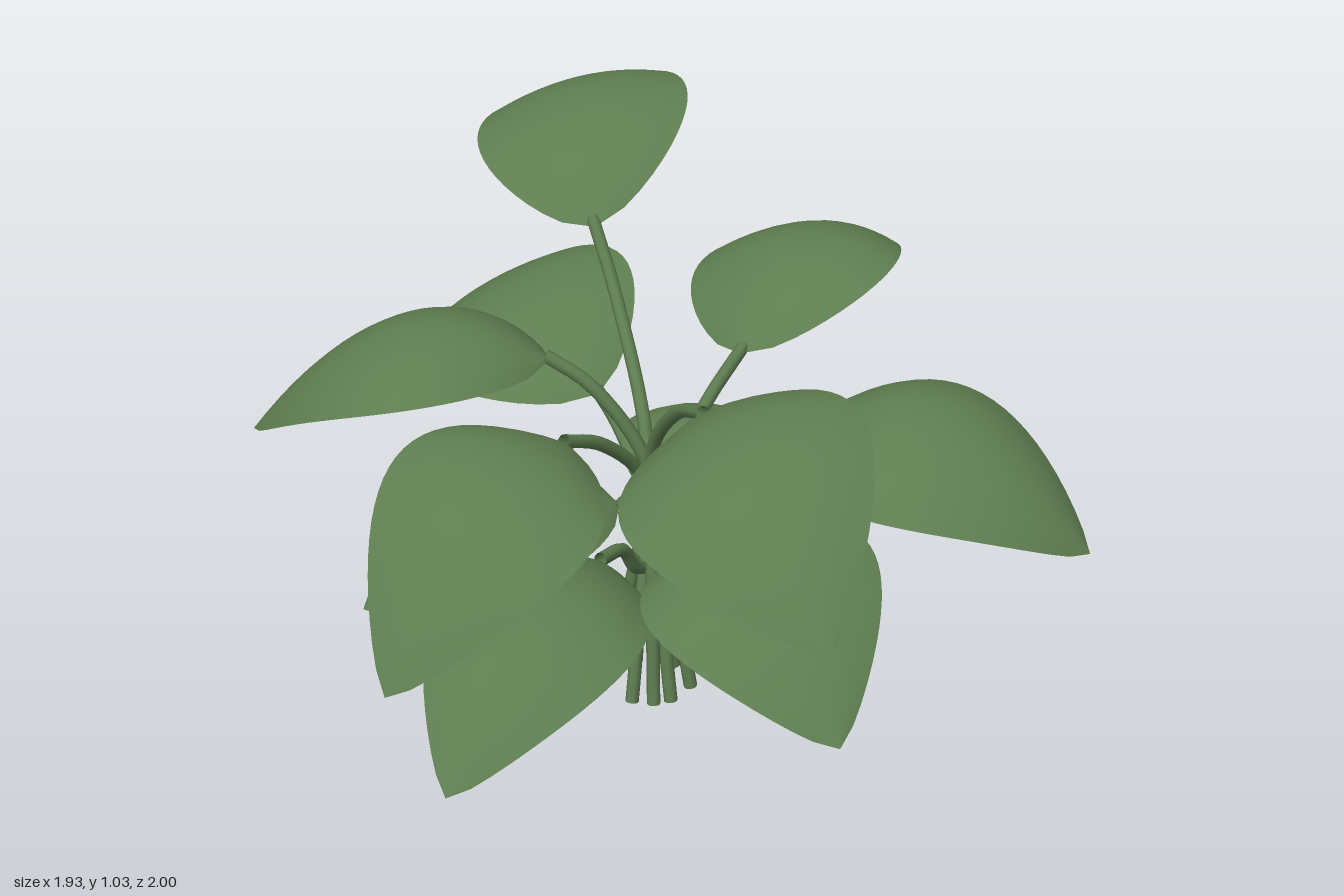
import * as THREE from 'three';

// each leaf: base point, tip point, arch height, half width, edge droop,
// sideways tilt (right side up) and sideways sway of the midrib (to the right)
const UPPER = [
  { base: [-0.47, 0.83, -0.31], tip: [-0.94, 0.85, -0.85], arch: 0.175, half: 0.245, droop: 0.045, tilt: 0.055, sway: -0.01 },
  { base: [-0.10, 0.60, -0.36], tip: [-0.21, 0.60, -1.00], arch: 0.17, half: 0.24, droop: 0.07, tilt: 0.04, sway: 0 },
  { base: [-0.20, 0.63, 0.03], tip: [-0.80, 0.57, -0.23], arch: 0.15, half: 0.245, droop: 0.04, tilt: 0.09, sway: -0.03 },
  { base: [-0.19, 0.79, 0.21], tip: [-0.79, 0.56, 0.50], arch: 0.175, half: 0.23, droop: 0.08, tilt: 0.01, sway: -0.04 },
  { base: [0.30, 0.68, 0.05], tip: [0.97, 0.57, -0.10], arch: 0.19, half: 0.23, droop: 0.08, tilt: -0.05, sway: 0.025 },
  { base: [0.26, 0.83, 0.28], tip: [0.83, 0.64, 0.63], arch: 0.165, half: 0.25, droop: 0.06, tilt: -0.09, sway: 0.03 },
  { base: [-0.01, 0.72, 0.38], tip: [0.01, 0.42, 1.00], arch: 0.165, half: 0.235, droop: 0.05, tilt: 0.05, sway: -0.01 },
];
const LOWER = [
  { base: [0.20, 0.43, -0.19], tip: [0.54, 0.34, -0.69], arch: 0.18, half: 0.25, droop: 0.08, tilt: 0.02, sway: -0.01 },
  { base: [0.00, 0.43, 0.06], tip: [-0.08, 0.33, -0.46], arch: 0.16, half: 0.225, droop: 0.08, tilt: -0.02, sway: 0.015 },
  { base: [0.27, 0.54, 0.25], tip: [0.80, 0.37, 0.55], arch: 0.165, half: 0.245, droop: 0.06, tilt: -0.04, sway: 0.02 },
  { base: [-0.06, 0.45, 0.14], tip: [-0.43, 0.26, 0.57], arch: 0.14, half: 0.235, droop: 0.06, tilt: 0.035, sway: 0 },
  { base: [0.04, 0.43, 0.33], tip: [0.16, 0.24, 1.00], arch: 0.17, half: 0.22, droop: 0.06, tilt: 0.03, sway: -0.015 },
];

const CENTRE_Z = 0.11;

// horizontal direction in which the leaf points
function heading({ base, tip }) {
  return new THREE.Vector3(tip[0] - base[0], 0, tip[2] - base[2]).normalize();
}

// arched, drooping blade, widest a little nearer the base
function leafGeometry(leaf) {
  const along = 24, across = 12;
  const geo = new THREE.PlaneGeometry(1, 1, across, along);
  const pos = geo.attributes.position;
  const base = new THREE.Vector3(...leaf.base);
  const tip = new THREE.Vector3(...leaf.tip);
  const h = heading(leaf);
  const right = new THREE.Vector3(-h.z, 0, h.x);
  const p = new THREE.Vector3();
  for (let i = 0; i < pos.count; i++) {
    const u = pos.getX(i) * 2;
    const s = Math.max(0, pos.getY(i) + 0.5);
    const w = Math.pow(Math.max(0, Math.sin(Math.PI * Math.pow(s, 0.86))), 0.78);
    p.lerpVectors(base, tip, s).addScaledVector(right, w * (u * leaf.half + leaf.sway));
    p.y += leaf.arch * 4 * s * (1 - s) + (leaf.tilt * u - leaf.droop * u * u) * w;
    pos.setXYZ(i, p.x, p.y, p.z);
  }
  geo.computeVertexNormals();
  return geo;
}

// point a fraction t of the way out from the centre line to the leaf base
function outward([bx, , bz], t, y) {
  return new THREE.Vector3(bx * t, y, CENTRE_Z + (bz - CENTRE_Z) * t);
}

// stalk leaning in from the ground, through the shared centre, then out to the leaf
function upperPath(leaf) {
  const by = leaf.base[1];
  const h = heading(leaf);
  const neck = by * 0.74;
  return [
    new THREE.Vector3(-0.09 * h.x, 0.004, CENTRE_Z - 0.09 * h.z),
    new THREE.Vector3(-0.03 * h.x, neck * 0.65, CENTRE_Z - 0.03 * h.z),
    outward(leaf.base, 0.08, neck),
    outward(leaf.base, 0.6, by - (by - neck) * 0.25),
    outward(leaf.base, 1.04, by + 0.01),
  ];
}

// side shoot leaving the bundle of stalks with an S bend
function lowerPath(leaf) {
  const by = leaf.base[1];
  return [
    outward(leaf.base, 0, 0.3),
    outward(leaf.base, 0.33, by - 0.09),
    outward(leaf.base, 0.58, by - 0.02),
    outward(leaf.base, 1.04, by + 0.01),
  ];
}

export function createModel() {
  const model = new THREE.Group();
  model.name = 'leafyPlant';
  const green = new THREE.MeshStandardMaterial({ color: 0x5e7d50, side: THREE.DoubleSide });
  green.name = 'leaf green';

  function addFronds(leaves, name, stemPath) {
    leaves.forEach((leaf, i) => {
      const frond = new THREE.Group();
      frond.name = `${name}${i + 1}`;
      const blade = new THREE.Mesh(leafGeometry(leaf), green);
      blade.name = 'leaf';
      const curve = new THREE.CatmullRomCurve3(stemPath(leaf));
      const stem = new THREE.Mesh(new THREE.TubeGeometry(curve, 28, 0.015, 8, false), green);
      stem.name = 'stem';
      frond.add(blade, stem);
      model.add(frond);
    });
  }
  addFronds(UPPER, 'upperFrond', upperPath);
  addFronds(LOWER, 'lowerFrond', lowerPath);
  return model;
}
